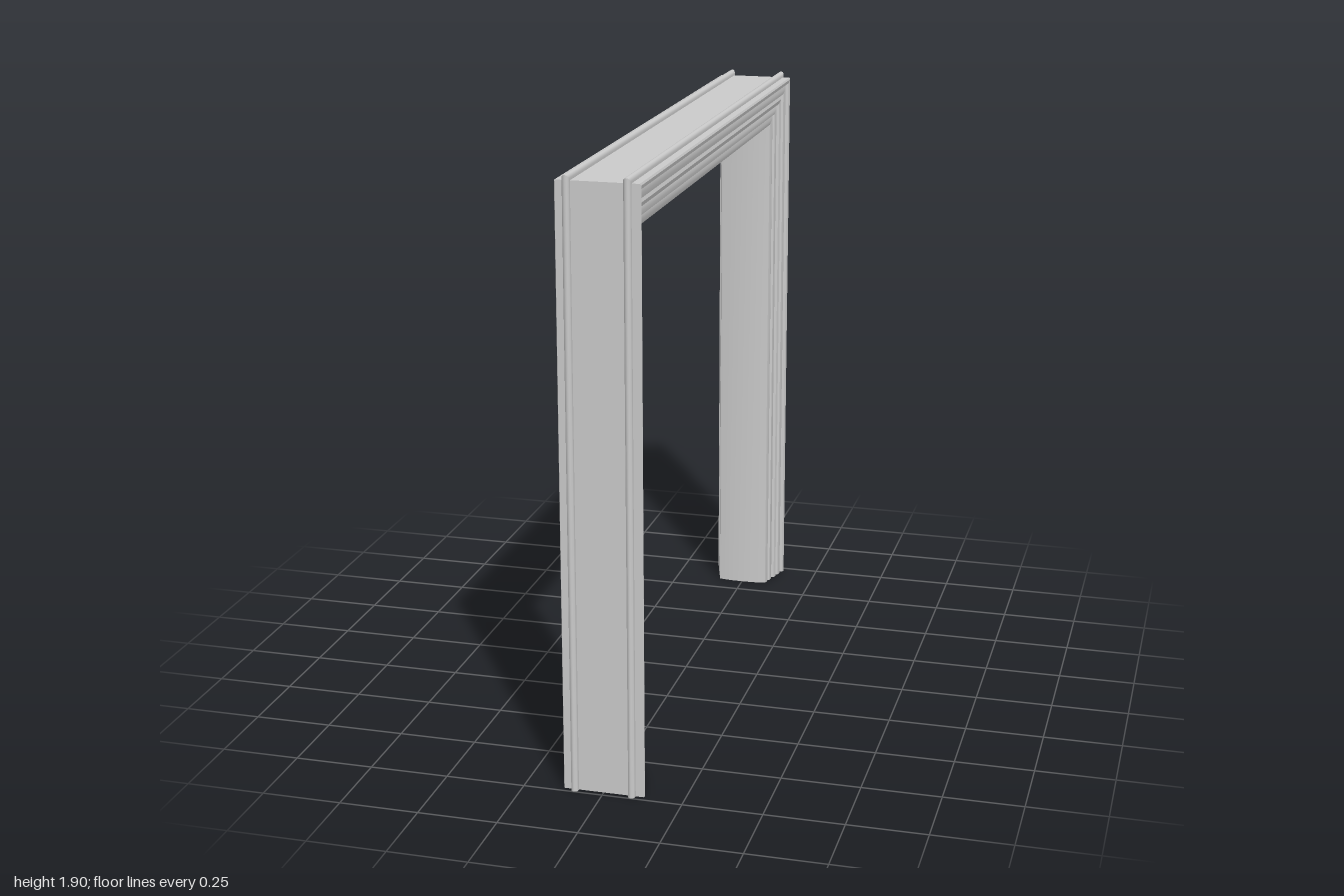
import * as THREE from 'three';
import { toCreasedNormals } from 'three/addons/utils/BufferGeometryUtils.js';

const TOP = 1.905; // height of the beads on the head
const HALF = 1;    // half of the overall span

// Half of the moulding section: [x, depth inward from the outermost edge]
function sectionPoints() {
  const half = [];
  // small round bead on the outer face
  half.push([0.079, 0.018]);
  for (let i = 0; i <= 6; i++) {
    const a = Math.PI * (1 - i / 6);
    half.push([0.09 + 0.011 * Math.cos(a), 0.011 - 0.011 * Math.sin(a)]);
  }
  half.push([0.101, 0.018]);
  // stepped face moulding, receding towards the opening
  half.push(
    [0.125, 0.018], [0.128, 0.024], [0.125, 0.036], [0.115, 0.039],
    [0.118, 0.052], [0.114, 0.07], [0.106, 0.074], [0.110, 0.086],
    [0.106, 0.100], [0.096, 0.104], [0.100, 0.116], [0.097, 0.132],
    [0.090, 0.136], [0.092, 0.148], [0.087, 0.165]
  );
  // slightly raised middle of the inner face
  half.push([0.04, 0.172]);
  const mirrored = half.map(([x, d]) => [-x, d]).reverse();
  return [...half, ...mirrored];
}

// Stations along the frame; mitred at both upper corners
const stations = [
  ([x, d]) => [x, 0, HALF - d],
  ([x, d]) => [x, TOP - d, HALF - d],
  ([x, d]) => [x, TOP - d, d - HALF],
  ([x, d]) => [x, 0, d - HALF],
];

function createMember(name, index, material) {
  const section = sectionPoints();
  const a = section.map(stations[index]);
  const b = section.map(stations[index + 1]);
  const pos = [];
  const tri = (...pts) => pts.forEach((p) => pos.push(...p));

  for (let i = 0; i < section.length; i++) {
    const j = (i + 1) % section.length;
    tri(a[i], a[j], b[j]);
    tri(a[i], b[j], b[i]);
  }
  // feet of the posts
  if (index !== 1) {
    const contour = section.map(([x, d]) => new THREE.Vector2(x, d));
    for (const [p, q, r] of THREE.ShapeUtils.triangulateShape(contour, [])) {
      if (index === 0) tri(a[r], a[q], a[p]);
      else tri(b[p], b[q], b[r]);
    }
  }

  const geometry = new THREE.BufferGeometry();
  geometry.setAttribute('position', new THREE.Float32BufferAttribute(pos, 3));
  const mesh = new THREE.Mesh(toCreasedNormals(geometry, 0.6), material);
  mesh.name = name;
  return mesh;
}

export function createModel() {
  const group = new THREE.Group();
  group.name = 'doorFrame';
  const material = new THREE.MeshStandardMaterial({ color: 0xcccccc });
  ['frontPost', 'head', 'backPost'].forEach((name, i) => {
    group.add(createMember(name, i, material));
  });
  return group;
}
